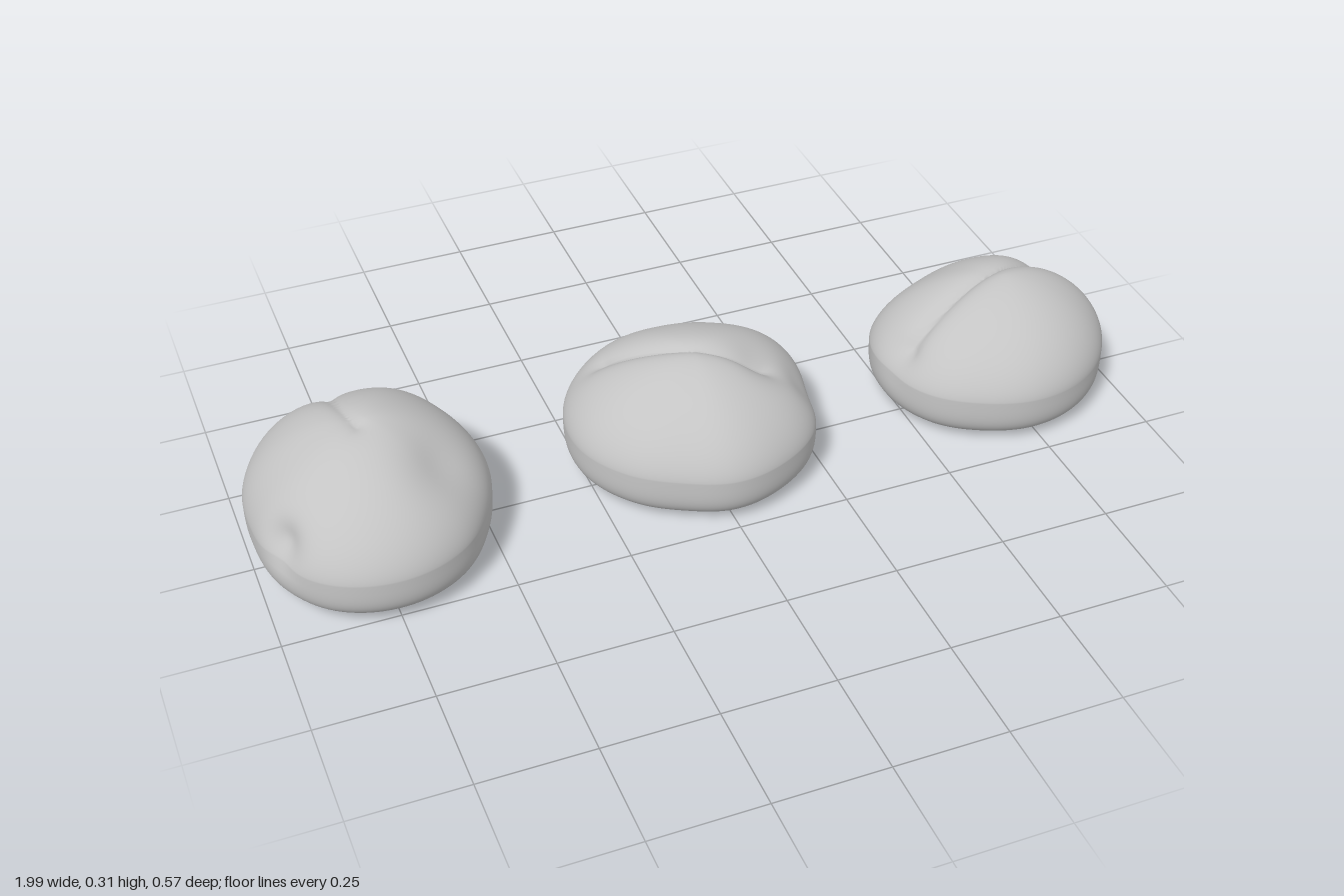
import * as THREE from 'three';
import { mergeVertices } from 'three/addons/utils/BufferGeometryUtils.js';

const BELLY = 0.12; // height of the widest level

// outline: radii every 30 degrees from +x towards +z; seam: three x,z points of a curved crease
// dents: [x, y, z, radius, depth], all relative to the middle of the roll
const ROLLS = [
  { name: 'leftRoll', x: 0.73, z: -0.02, height: 0.3, apex: [0.03, -0.01],
    outline: [0.265, 0.255, 0.245, 0.24, 0.24, 0.258, 0.27, 0.275, 0.25, 0.25, 0.257, 0.25],
    seam: [[-0.23, 0.03], [0.02, -0.04], [0.23, -0.12]], seamDepth: 0.11,
    dents: [[0.22, 0.12, -0.11, 0.05, 0.06], [-0.25, 0.15, 0.02, 0.05, 0.04]] },
  { name: 'middleRoll', x: 0, z: 0, height: 0.3, apex: [0, -0.02],
    outline: [0.265, 0.26, 0.245, 0.24, 0.23, 0.25, 0.28, 0.3, 0.305, 0.285, 0.285, 0.3],
    seam: [[-0.18, -0.15], [-0.03, -0.02], [0.16, 0.03]], seamDepth: 0.11,
    dents: [[0.14, 0.24, 0.02, 0.06, 0.07], [0.23, 0.17, 0.03, 0.06, 0.05]] },
  { name: 'rightRoll', x: -0.74, z: 0, height: 0.323, apex: [0.01, -0.02],
    outline: [0.26, 0.255, 0.27, 0.28, 0.28, 0.265, 0.255, 0.275, 0.298, 0.29, 0.295, 0.27],
    seam: [[-0.02, -0.27], [-0.04, -0.1], [-0.01, 0.0]], seamDepth: 0.07,
    dents: [[0.13, 0.23, 0.1, 0.08, 0.09], [-0.2, 0.15, 0.12, 0.045, 0.13],
      [0.02, 0.15, -0.29, 0.06, 0.1]] },
];

// Smooth periodic interpolation of the outline radii
function radiusAt(list, angle) {
  const n = list.length;
  const f = ((angle / (Math.PI * 2)) * n + n) % n;
  const i = Math.floor(f), t = f - i;
  const [a, b, c, d] = [-1, 0, 1, 2].map((k) => list[(i + k + n) % n]);
  return b + 0.5 * t * (c - a + t * (2 * a - 5 * b + 4 * c - d + t * (3 * (b - c) + d - a)));
}

// Distance in plan from a point to a polyline
function seamDistance(points, x, z) {
  let best = Infinity;
  for (let i = 0; i < points.length - 1; i++) {
    const a = points[i], b = points[i + 1];
    const dx = b.x - a.x, dz = b.y - a.y;
    const t = THREE.MathUtils.clamp(((x - a.x) * dx + (z - a.y) * dz) / (dx * dx + dz * dz), 0, 1);
    best = Math.min(best, Math.hypot(x - a.x - dx * t, z - a.y - dz * t));
  }
  return best;
}

function rollGeometry(roll) {
  const sphere = new THREE.SphereGeometry(1, 112, 88);
  sphere.deleteAttribute('uv');
  sphere.deleteAttribute('normal');
  const geometry = mergeVertices(sphere, 1e-5);
  const pos = geometry.attributes.position;
  const seam = new THREE.QuadraticBezierCurve(
    ...roll.seam.map(([x, z]) => new THREE.Vector2(x, z))).getPoints(16);
  const p = new THREE.Vector3();
  for (let i = 0; i < pos.count; i++) {
    p.fromBufferAttribute(pos, i);
    // Domed top, tighter rounded base
    const power = p.y > 0 ? 2 / 1.65 : 2 / 4;
    const spread = Math.pow(Math.hypot(p.x, p.z), power);
    const rise = Math.pow(Math.abs(p.y), power);
    const angle = Math.atan2(p.z, p.x);
    const radius = radiusAt(roll.outline, angle) * spread;
    const up = p.y > 0;
    let x = Math.cos(angle) * radius, z = Math.sin(angle) * radius;
    let y = up ? rise * (roll.height - BELLY) : -rise * BELLY;
    if (up) {
      x += roll.apex[0] * rise;
      z += roll.apex[1] * rise;
    } else {
      y += 0.006 * Math.max(0, 1 - (spread / 0.7) ** 2); // slightly hollow underside
    }
    // Crease and dents pull the surface towards the middle
    let pull = 0;
    if (up) {
      const d = seamDistance(seam, x, z);
      pull += roll.seamDepth * Math.exp(-d / 0.024) * THREE.MathUtils.smoothstep(rise, 0, 0.35);
    }
    for (const [dx, dy, dz, size, depth] of roll.dents) {
      const d2 = (x - dx) ** 2 + (y + BELLY - dy) ** 2 + (z - dz) ** 2;
      pull += depth * Math.exp(-d2 / (size * size));
    }
    const s = 1 - pull;
    pos.setXYZ(i, x * s, BELLY + y * s, z * s);
  }
  geometry.computeVertexNormals();
  return geometry;
}

export function createModel() {
  const group = new THREE.Group();
  group.name = 'breadRolls';
  const dough = new THREE.MeshStandardMaterial({ color: 0xc4c4c4 });
  dough.name = 'plain grey dough';
  for (const roll of ROLLS) {
    const mesh = new THREE.Mesh(rollGeometry(roll), dough);
    mesh.name = roll.name;
    mesh.position.set(roll.x, 0, roll.z);
    group.add(mesh);
  }
  return group;
}
